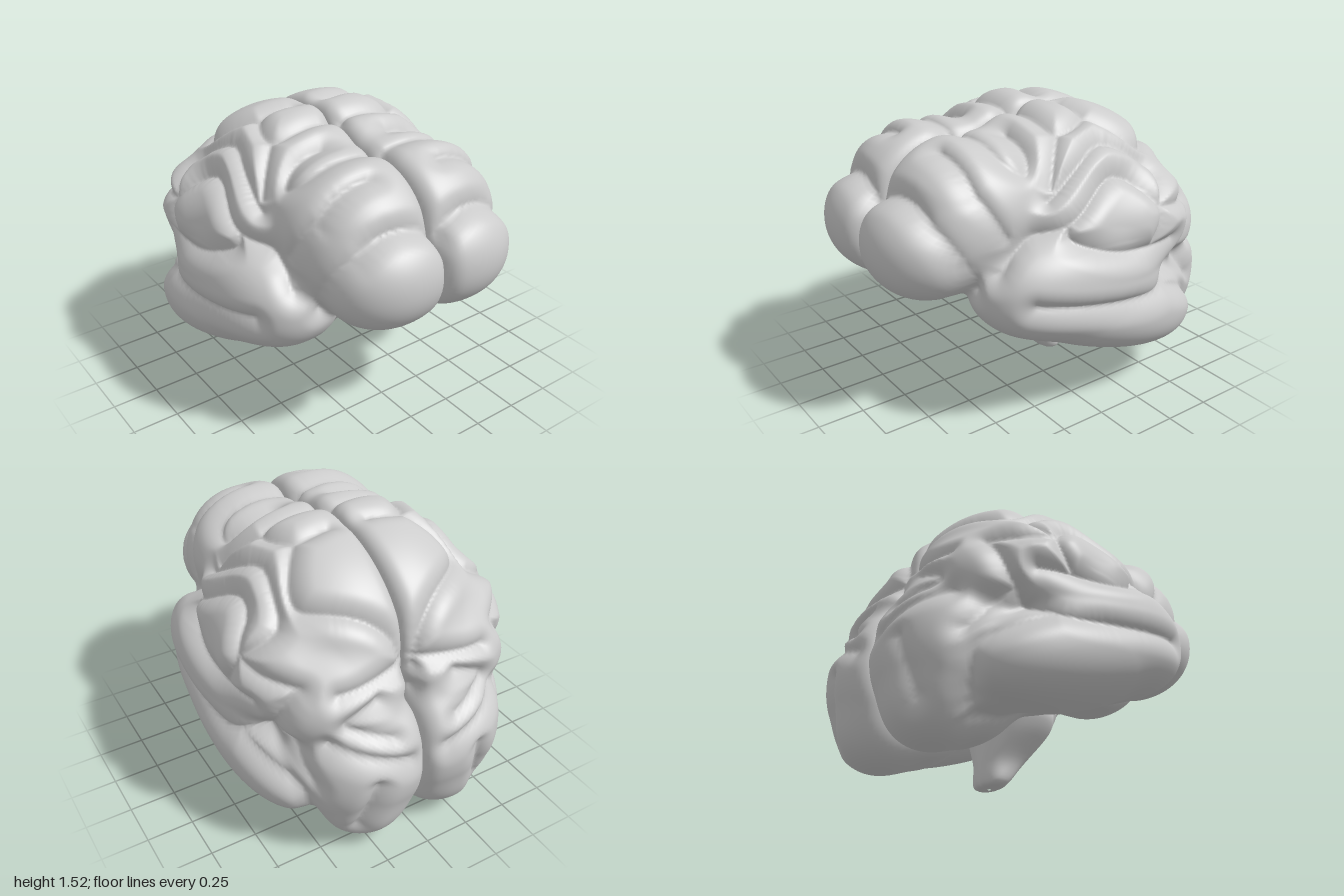
import * as THREE from 'three';
import { mergeVertices } from 'three/addons/utils/BufferGeometryUtils.js';

// Lobes of one hemisphere: centre, radii, roundness power, lower y radius, pitch
const LOBES = [
  { c: [0.19, 0.97, 0.69], r: [0.34, 0.28, 0.31], p: 2.1 },                 // frontal pole
  { c: [0.18, 1.08, 0.45], r: [0.40, 0.37, 0.41], p: 2.1 },                 // upper frontal
  { c: [0.14, 0.95, -0.10], r: [0.56, 0.575, 0.68], p: 2, down: 0.30 },     // crown
  { c: [0.40, 1.00, 0.02], r: [0.34, 0.29, 0.40], p: 2 },                   // side of crown
  { c: [0.44, 0.95, -0.30], r: [0.34, 0.30, 0.41], p: 2.1 },                // side of parietal
  { c: [0.28, 0.85, -0.54], r: [0.40, 0.30, 0.32], p: 2 },                  // back of parietal
  { c: [0.50, 0.75, 0.05], r: [0.33, 0.30, 0.55], p: 2.3 },                 // upper temporal
  { c: [0.50, 0.56, -0.12], r: [0.335, 0.26, 0.67], p: 2.2, pitch: 0.36 },  // lower temporal
  { c: [0.35, 0.62, 0.12], r: [0.18, 0.15, 0.30], p: 2 },                   // inner temporal
  { c: [0.30, 0.50, -0.35], r: [0.30, 0.20, 0.50], p: 2, pitch: 0.42 },     // underside
  { c: [0.21, 0.50, -0.61], r: [0.39, 0.41, 0.39], p: 2.1 },                // occipital
  { c: [0.23, 0.26, -0.72], r: [0.25, 0.22, 0.23], p: 2 },                  // occipital underside
];

// Furrows as splines: top and under are [x, z], side is [z, y], back is [x, y]
const FURROWS = {
  top: [
    [[0.02, 0.86], [0.44, 0.82]],
    [[0.2, 0.63], [0.5, 0.62]],
    [[0.02, 0.42], [0.38, 0.42], [0.47, 0.33], [0.38, 0.25], [0.2, 0.24]],
    [[0.02, 0.06], [0.36, 0.05], [0.31, -0.18], [0.1, -0.18]],
    [[0.31, -0.18], [0.45, -0.48], [0.02, -0.76]],
    [[0.38, 0.04], [0.55, 0.21]],
  ],
  side: [
    [[0.82, 1.14], [0.61, 0.78]],
    [[0.62, 1.28], [0.5, 1.05]],
    [[0.25, 1.2], [-0.15, 1.4], [-0.46, 1.22], [-0.39, 1.08]],
    [[0.55, 0.88], [0.4, 1.03], [0.2, 1.09], [-0.15, 1.26], [-0.38, 1.08], [-0.32, 0.9]],
    [[0.2, 1.09], [0.18, 1], [-0.1, 0.9], [-0.5, 0.87]],
    [[-0.39, 1.08], [-0.7, 1.01]],
    [[0.44, 0.73], [-0.1, 0.63], [-0.4, 0.62], [-0.62, 0.8], [-0.7, 1.01]],
    [[-0.4, 0.62], [-0.75, 0.42], [-0.7, 0.18]],
    [[-0.61, 0.74], [-0.8, 0.5]],
  ],
  back: [
    [[0.03, 1.02], [0.42, 0.98]],
    [[0.22, 0.92], [0.4, 0.82], [0.18, 0.72]],
    [[0.1, 0.58], [0.48, 0.72]],
    [[0.3, 0.5], [0.36, 0.2]],
  ],
  under: [[[0.42, 0.3], [0.38, -0.1], [0.44, -0.65]]],
};

const CENTRE = new THREE.Vector3(0.3, 0.85, -0.05);

function lobeDistance({ c, r, p, down, pitch = 0 }, x, y, z) {
  const dx = x - c[0], cos = Math.cos(pitch), sin = Math.sin(pitch);
  const dy = (y - c[1]) * cos - (z - c[2]) * sin;
  const dz = (y - c[1]) * sin + (z - c[2]) * cos;
  const ry = down && dy < 0 ? down : r[1];
  const q = Math.abs(dx / r[0]) ** p + Math.abs(dy / ry) ** p + Math.abs(dz / r[2]) ** p;
  return (q ** (1 / p) - 1) * Math.min(r[0], ry, r[2]);
}

function smoothMin(a, b, k) {
  const h = Math.max(k - Math.abs(a - b), 0) / k;
  return Math.min(a, b) - h * h * k / 4;
}

// Blend of all lobes, cut with a rounded edge at the midline
function field(p) {
  let d = 10;
  for (const lobe of LOBES) d = smoothMin(d, lobeDistance(lobe, p.x, p.y, p.z), 0.05);
  return -smoothMin(-d, p.x - 0.001, 0.08);
}

// Outermost surface point along a direction from the centre
function surfacePoint(dir) {
  const p = new THREE.Vector3();
  const at = (s) => p.copy(dir).multiplyScalar(s).add(CENTRE);
  let lo = 1.4;
  while (lo > 0.04 && field(at(lo)) > 0) lo -= 0.025;
  let hi = lo + 0.025;
  for (let i = 0; i < 9; i++) {
    const mid = (lo + hi) / 2;
    if (field(at(mid)) > 0) hi = mid; else lo = mid;
  }
  return at(lo);
}

// Drop a drawn point onto the surface from the side, top, back or below
const DROP = {
  side: (a, b, t) => [1 - t, b, a],
  top: (a, b, t) => [a, 1.6 - t, b],
  back: (a, b, t) => [a, b, -1.1 + t],
  under: (a, b, t) => [a, t, b],
};
function dropPoint(view, a, b) {
  const p = new THREE.Vector3();
  for (let t = 0; t < 0.96; t += 0.005) {
    p.set(...DROP[view](a, b, t));
    if (field(p) < 0) break;
  }
  return surfacePoint(p.sub(CENTRE).normalize());
}

function furrowPoints() {
  const points = [];
  for (const [view, lines] of Object.entries(FURROWS)) {
    for (const line of lines) {
      const curve = new THREE.SplineCurve(line.map(([a, b]) => new THREE.Vector2(a, b)));
      const n = Math.ceil(curve.getLength() / 0.008);
      for (const q of curve.getSpacedPoints(n)) points.push(dropPoint(view, q.x, q.y));
    }
  }
  return points;
}

function weld(geo) {
  geo.deleteAttribute('uv');
  geo.deleteAttribute('normal');
  const welded = mergeVertices(geo, 1e-5);
  welded.computeVertexNormals();
  return welded;
}

function hemisphereGeometry() {
  const geo = weld(new THREE.IcosahedronGeometry(1, 55));
  const pos = geo.attributes.position;
  const furrows = furrowPoints();
  const dir = new THREE.Vector3();
  const width = 0.12, depth = 0.055;
  for (let i = 0; i < pos.count; i++) {
    dir.fromBufferAttribute(pos, i).normalize();
    const p = surfacePoint(dir);
    // press the furrows in, leaving rounded folds between them
    let near = width * width;
    for (const f of furrows) near = Math.min(near, p.distanceToSquared(f));
    const t = 1 - Math.sqrt(near) / width;
    p.addScaledVector(dir, -depth * t * t);
    pos.setXYZ(i, Math.max(p.x, 0.001), p.y, p.z);
  }
  geo.computeVertexNormals();
  return geo;
}

function mirrored(geo) {
  const m = geo.clone().scale(-1, 1, 1);
  const idx = m.index.array;
  for (let i = 0; i < idx.length; i += 3) [idx[i], idx[i + 1]] = [idx[i + 1], idx[i]];
  m.computeVertexNormals();
  return m;
}

// Stem: stacked oval rings [y, centre z, x radius, z radius], creased front and back
function stemGeometry() {
  const rings = [[0, -0.21, 0.01, 0.01], [0.02, -0.205, 0.1, 0.07], [0.14, -0.155, 0.135, 0.125],
    [0.3, -0.09, 0.25, 0.18], [0.4, -0.075, 0.27, 0.18], [0.52, -0.06, 0.18, 0.17], [0.78, 0, 0.08, 0.16]];
  const curves = [1, 2, 3].map((k) => new THREE.SplineCurve(rings.map((r) => new THREE.Vector2(r[0], r[k]))));
  const geo = new THREE.PlaneGeometry(1, 1, 64, 40);
  const pos = geo.attributes.position;
  for (let i = 0; i < pos.count; i++) {
    const a = (pos.getX(i) + 0.5) * Math.PI * 2;
    const [centre, rx, rz] = curves.map((c) => c.getPoint(pos.getY(i) + 0.5));
    const crease = 1 - 0.16 * Math.exp(-Math.abs(Math.sin(a)) / 0.16) + 0.04 * Math.cos(6 * a);
    pos.setXYZ(i, Math.sin(a) * rx.y, centre.x, centre.y + Math.cos(a) * rz.y * crease);
  }
  return weld(geo);
}

export function createModel() {
  const group = new THREE.Group();
  group.name = 'brain';
  const material = new THREE.MeshStandardMaterial({ color: 0xcccccc });
  const add = (name, geo) => {
    const mesh = new THREE.Mesh(geo, material);
    mesh.name = name;
    group.add(mesh);
  };
  const half = hemisphereGeometry();
  add('leftHemisphere', half);
  add('rightHemisphere', mirrored(half));
  add('brainStem', stemGeometry());
  return group;
}
